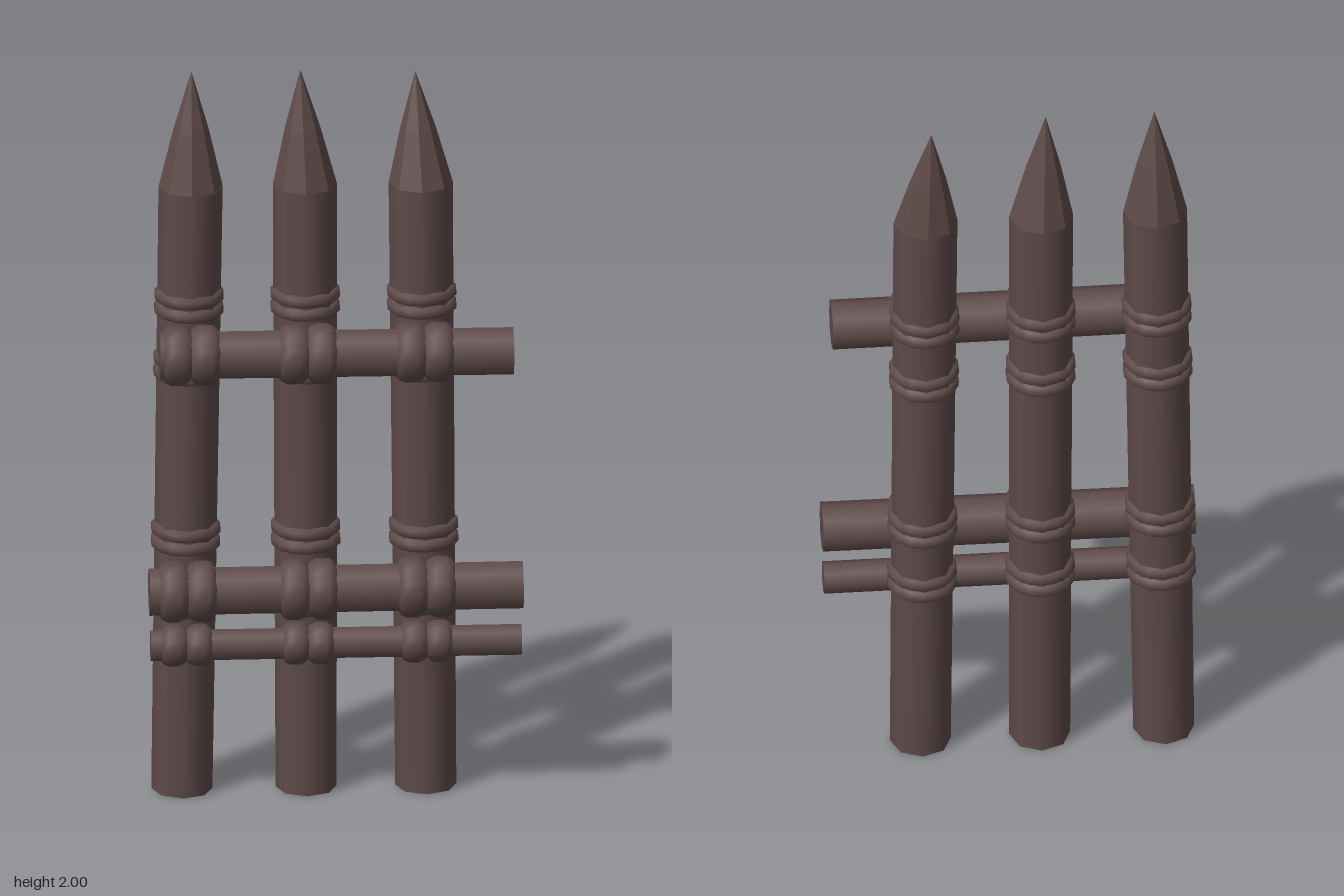
import * as THREE from 'three';

const UP = new THREE.Vector3(0, 1, 0);
const V = (x, y, z) => new THREE.Vector3(x, y, z);

export function createModel() {
  const group = new THREE.Group();
  const wood = new THREE.MeshStandardMaterial({ color: 0x5e4a49 });
  wood.name = 'dark brown wood';

  // Place a y-aligned geometry at a point, pointing along a direction
  function add(name, geometry, position, direction) {
    const mesh = new THREE.Mesh(geometry, wood);
    mesh.name = name;
    mesh.position.copy(position);
    mesh.quaternion.setFromUnitVectors(UP, direction.clone().normalize());
    group.add(mesh);
  }

  // Smooth log with flat ends between two points
  function log(name, a, b, r0, r1, sides) {
    const d = b.clone().sub(a);
    add(name, new THREE.CylinderGeometry(r1, r0, d.length(), sides),
      a.clone().lerp(b, 0.5), d);
  }

  // Rope binding: two rounded coils side by side around a log
  function binding(name, position, direction, inner, outer, width) {
    const pts = [];
    for (let coil = 0; coil < 2; coil++) {
      const y0 = (coil - 1) * width / 2;
      [[0, 0], [0.1, 0.65], [0.3, 1], [0.7, 1], [0.9, 0.65], [1, 0.25]].forEach(([t, k]) => {
        const h = coil ? 1 - t : t; // second coil mirrors the first
        pts.push(new THREE.Vector2(inner + (outer - inner) * k, coil ? -y0 + h * width / 2 : y0 + h * width / 2));
      });
    }
    // Order the mirrored coil from the middle outwards
    const second = pts.splice(6).reverse();
    second.forEach((p) => { p.y = Math.abs(p.y); });
    second.sort((a, b) => a.y - b.y);
    add(name, new THREE.LatheGeometry(pts.concat(second), 14), position, direction);
  }

  // Pointed posts: foot, shoulder and apex of each
  const posts = [
    { foot: V(-0.395, 0, -0.063), top: V(-0.372, 1.68, -0.068), apex: V(-0.37, 2, -0.068) },
    { foot: V(-0.07, 0, -0.063), top: V(-0.073, 1.68, -0.068), apex: V(-0.085, 2, -0.068) },
    { foot: V(0.243, 0, -0.063), top: V(0.23, 1.68, -0.068), apex: V(0.217, 1.98, -0.095) },
  ];
  // Heights of the bindings around the posts
  const bindingHeights = [0.535, 0.71, 1.185, 1.36];

  posts.forEach(({ foot, top, apex }) => {
    log('post', foot, top, 0.08, 0.084, 8);

    // Faceted point, sheared so that it meets its apex
    const height = apex.y - top.y;
    const tip = new THREE.CylinderGeometry(0, 0.084, height, 8, 2, true).toNonIndexed();
    const p = tip.attributes.position;
    for (let i = 0; i < p.count; i++) {
      const t = p.getY(i) / height + 0.5;
      const swell = t > 0.4 && t < 0.6 ? 1.1 : 1;
      p.setXYZ(i, p.getX(i) * swell + (apex.x - top.x) * t, p.getY(i) + height / 2,
        p.getZ(i) * swell + (apex.z - top.z) * t);
    }
    tip.computeVertexNormals();
    add('postPoint', tip, top, UP);

    bindingHeights.forEach((y) => {
      const at = foot.clone().lerp(top, y / top.y);
      binding('postBinding', at, top.clone().sub(foot), 0.07, 0.092, 0.075);
    });
  });

  // Cross rails in front of the posts, each bound at every post
  const rails = [
    { a: V(-0.46, 1.26, 0.073), b: V(0.465, 1.257, 0.073), r: 0.066, outer: 0.08, width: 0.15 },
    { a: V(-0.487, 0.6, 0.073), b: V(0.49, 0.603, 0.073), r: 0.066, outer: 0.081, width: 0.15 },
    { a: V(-0.483, 0.446, 0.062), b: V(0.487, 0.446, 0.062), r: 0.043, outer: 0.056, width: 0.135 },
  ];
  rails.forEach(({ a, b, r, outer, width }) => {
    log('rail', a, b, r, r, 8);
    posts.forEach(({ foot, top }) => {
      const x = THREE.MathUtils.lerp(foot.x, top.x, a.y / top.y);
      const at = a.clone().lerp(b, (x - a.x) / (b.x - a.x));
      binding('railBinding', at, b.clone().sub(a), r - 0.006, outer, width);
    });
  });

  return group;
}
